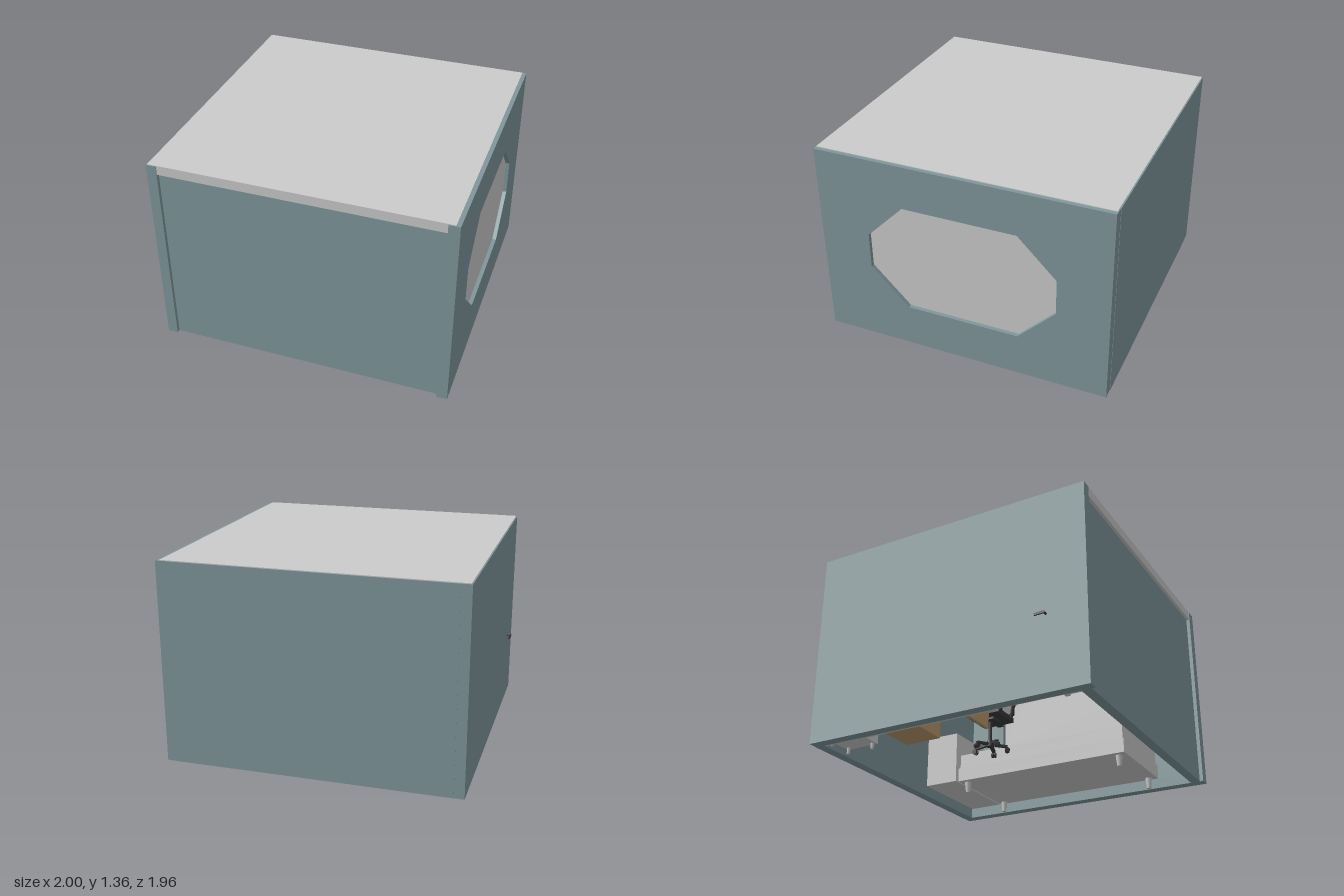
import * as THREE from 'three';

const mat = (color, opt = {}) => new THREE.MeshStandardMaterial({ color, ...opt });
const WALL = mat(0x7f979b), GREY = mat(0xcccccc), WOOD = mat(0xb8986a), BLACK = mat(0x3a3a3a), METAL = mat(0x3a3433);

function add(parent, name, geometry, material, x = 0, y = 0, z = 0) {
  const mesh = new THREE.Mesh(geometry, material);
  mesh.name = name;
  mesh.position.set(x, y, z);
  parent.add(mesh);
  return mesh;
}

// Box given by its limits on each axis
function box(parent, name, material, [x0, x1], [y0, y1], [z0, z1]) {
  return add(parent, name, new THREE.BoxGeometry(x1 - x0, y1 - y0, z1 - z0), material,
    (x0 + x1) / 2, (y0 + y1) / 2, (z0 + z1) / 2);
}

function group(parent, name) {
  const g = new THREE.Group();
  g.name = name;
  parent.add(g);
  return g;
}

function buildShell(root) {
  const g = group(root, 'roomShell');
  // Side wall with an eight-sided window; shape x runs along -z
  const wall = new THREE.Shape([[-0.98, 0.01], [0.98, 0.01], [0.98, 1.355], [-0.98, 1.355]]
    .map(p => new THREE.Vector2(...p)));
  const octagon = [[-0.64, 0.56], [-0.64, 0.805], [-0.385, 1.06], [0.38, 1.06],
    [0.635, 0.805], [0.635, 0.56], [0.38, 0.305], [-0.385, 0.305]].map(p => new THREE.Vector2(...p));
  wall.holes.push(new THREE.Path(octagon));
  const windowWall = add(g, 'windowWall',
    new THREE.ExtrudeGeometry(wall, { depth: 0.072, bevelEnabled: false }), WALL, 0.925);
  windowWall.rotation.y = Math.PI / 2;
  const pane = add(g, 'windowPane',
    new THREE.ExtrudeGeometry(new THREE.Shape(octagon), { depth: 0.015, bevelEnabled: false }), GREY, 0.955);
  pane.rotation.y = Math.PI / 2;

  box(g, 'doorWall', WALL, [-0.967, -0.9], [0.01, 1.355], [-0.98, 0.98]);
  box(g, 'backWall', WALL, [-0.9, 0.925], [0.01, 1.355], [-0.982, -0.915]);
  box(g, 'frontWall', WALL, [-0.9, 0.925], [0.01, 1.295], [0.89, 0.955]);
  box(g, 'ceiling', GREY, [-0.96, 0.97], [1.295, 1.36], [-0.975, 0.976]);
}

function buildDoor(root) {
  const g = group(root, 'door');
  box(g, 'doorLeaf', GREY, [-0.9, -0.885], [0.015, 1.06], [0.34, 0.78]);
  for (const z of [0.31, 0.78]) box(g, 'doorPost', GREY, [-0.9, -0.865], [0.01, 1.1], [z, z + 0.03]);
  box(g, 'doorLintel', GREY, [-0.9, -0.865], [1.06, 1.1], [0.31, 0.81]);
  for (const z of [0.39, 0.58])
    for (const [y0, y1] of [[0.12, 0.46], [0.56, 0.98]])
      box(g, 'doorPanel', GREY, [-0.885, -0.878], [y0, y1], [z, z + 0.15]);
  // Lever handles on both faces
  for (const [x, s] of [[-0.967, -1], [-0.885, 1]]) {
    const stem = add(g, 'handleStem', new THREE.CylinderGeometry(0.007, 0.007, 0.03, 12), METAL, x + s * 0.014, 0.51, 0.71);
    stem.rotation.z = Math.PI / 2;
    const lever = add(g, 'handleLever', new THREE.BoxGeometry(0.009, 0.016, 0.07), METAL, x + s * 0.027, 0.51, 0.68);
    lever.rotation.y = s * 0.06;
  }
  // Skirting on either side of the door
  box(g, 'skirting', GREY, [-0.9, -0.885], [0.01, 0.06], [-0.915, 0.31]);
  box(g, 'skirting', GREY, [-0.9, -0.885], [0.01, 0.06], [0.81, 0.89]);
}

function buildBed(root) {
  const g = group(root, 'bed');
  box(g, 'bedFrame', GREY, [0.29, 0.92], [0.08, 0.18], [-0.65, 0.65]);
  box(g, 'mattress', GREY, [0.3, 0.91], [0.18, 0.28], [-0.64, 0.64]);
  box(g, 'pillow', GREY, [0.4, 0.82], [0.28, 0.33], [-0.6, -0.38]);
  box(g, 'headboard', GREY, [0.27, 0.92], [0.08, 0.45], [-0.91, -0.66]);
  for (const x of [0.345, 0.885])
    for (const z of [-0.6, 0.59])
      add(g, 'bedLeg', new THREE.CylinderGeometry(0.024, 0.015, 0.08, 16), GREY, x, 0.045, z);
}

function buildDesk(root) {
  const g = group(root, 'desk');
  box(g, 'deskTop', WOOD, [-0.9, -0.63], [0.37, 0.395], [-0.47, 0.17]);
  box(g, 'deskSide', WOOD, [-0.9, -0.65], [0.012, 0.37], [0.13, 0.15]);
  box(g, 'drawerUnit', WOOD, [-0.9, -0.655], [0.012, 0.37], [-0.45, -0.2]);
  for (let i = 0; i < 3; i++) {
    const y = 0.035 + i * 0.112;
    box(g, 'drawerFront', WOOD, [-0.655, -0.645], [y, y + 0.1], [-0.44, -0.21]);
    box(g, 'drawerHandle', METAL, [-0.645, -0.633], [y + 0.055, y + 0.065], [-0.365, -0.285]);
  }
  // Wall shelf above the desk
  box(g, 'shelf', WOOD, [-0.9, -0.67], [0.8, 0.82], [-0.45, 0.15]);
  for (const z of [-0.45, 0.13]) box(g, 'shelfEnd', WOOD, [-0.9, -0.67], [0.82, 1.0], [z, z + 0.02]);
  box(g, 'shelfTop', WOOD, [-0.9, -0.67], [1.0, 1.02], [-0.45, 0.15]);
}

function buildCabinet(root) {
  const g = group(root, 'cornerCabinet');
  box(g, 'cabinetBody', GREY, [-0.9, -0.68], [0.05, 0.42], [-0.9, -0.66]);
  box(g, 'cabinetDoor', GREY, [-0.68, -0.67], [0.07, 0.4], [-0.89, -0.67]);
  for (const x of [-0.875, -0.705])
    for (const z of [-0.875, -0.685])
      add(g, 'cabinetFoot', new THREE.CylinderGeometry(0.012, 0.01, 0.04, 12), GREY, x, 0.03, z);
}

// Office chair facing the desk, so its back is toward +x
function buildChair(root) {
  const g = group(root, 'officeChair');
  g.position.set(-0.32, 0, -0.03);
  for (let i = 0; i < 5; i++) {
    const arm = group(g, 'chairFoot');
    arm.rotation.y = i * Math.PI * 2 / 5 + 0.3;
    const spoke = add(arm, 'spoke', new THREE.BoxGeometry(0.11, 0.015, 0.022), BLACK, 0.058, 0.045, 0);
    spoke.rotation.z = -0.12;
    for (const z of [-0.009, 0.009]) {
      const wheel = add(arm, 'caster', new THREE.CylinderGeometry(0.016, 0.016, 0.012, 16), BLACK, 0.112, 0.016, z);
      wheel.rotation.x = Math.PI / 2;
    }
  }
  add(g, 'hub', new THREE.CylinderGeometry(0.02, 0.026, 0.04, 16), BLACK, 0, 0.055, 0);
  add(g, 'gasLift', new THREE.CylinderGeometry(0.012, 0.012, 0.15, 16), BLACK, 0, 0.14, 0);
  box(g, 'seatPlate', BLACK, [-0.05, 0.05], [0.205, 0.22], [-0.05, 0.05]);
  box(g, 'seat', BLACK, [-0.11, 0.11], [0.22, 0.255], [-0.11, 0.11]);
  const back = add(g, 'backrest', new THREE.BoxGeometry(0.03, 0.27, 0.2), BLACK, 0.14, 0.42, 0);
  back.rotation.z = -0.1;
  box(g, 'backSupport', BLACK, [0.1, 0.14], [0.22, 0.34], [-0.02, 0.02]);
  // Bent armrests on both sides
  for (const z of [-0.125, 0.125]) {
    const path = new THREE.CatmullRomCurve3([[0.08, 0.235, z * 0.85], [0.07, 0.3, z], [0.06, 0.355, z],
      [0.0, 0.365, z], [-0.08, 0.36, z], [-0.08, 0.3, z], [-0.05, 0.235, z * 0.85]]
      .map(p => new THREE.Vector3(...p)));
    add(g, 'armrest', new THREE.TubeGeometry(path, 30, 0.011, 8), BLACK);
  }
}

export function createModel() {
  const root = new THREE.Group();
  root.name = 'bedroom';
  [buildShell, buildDoor, buildBed, buildDesk, buildCabinet, buildChair].forEach(build => build(root));
  return root;
}
